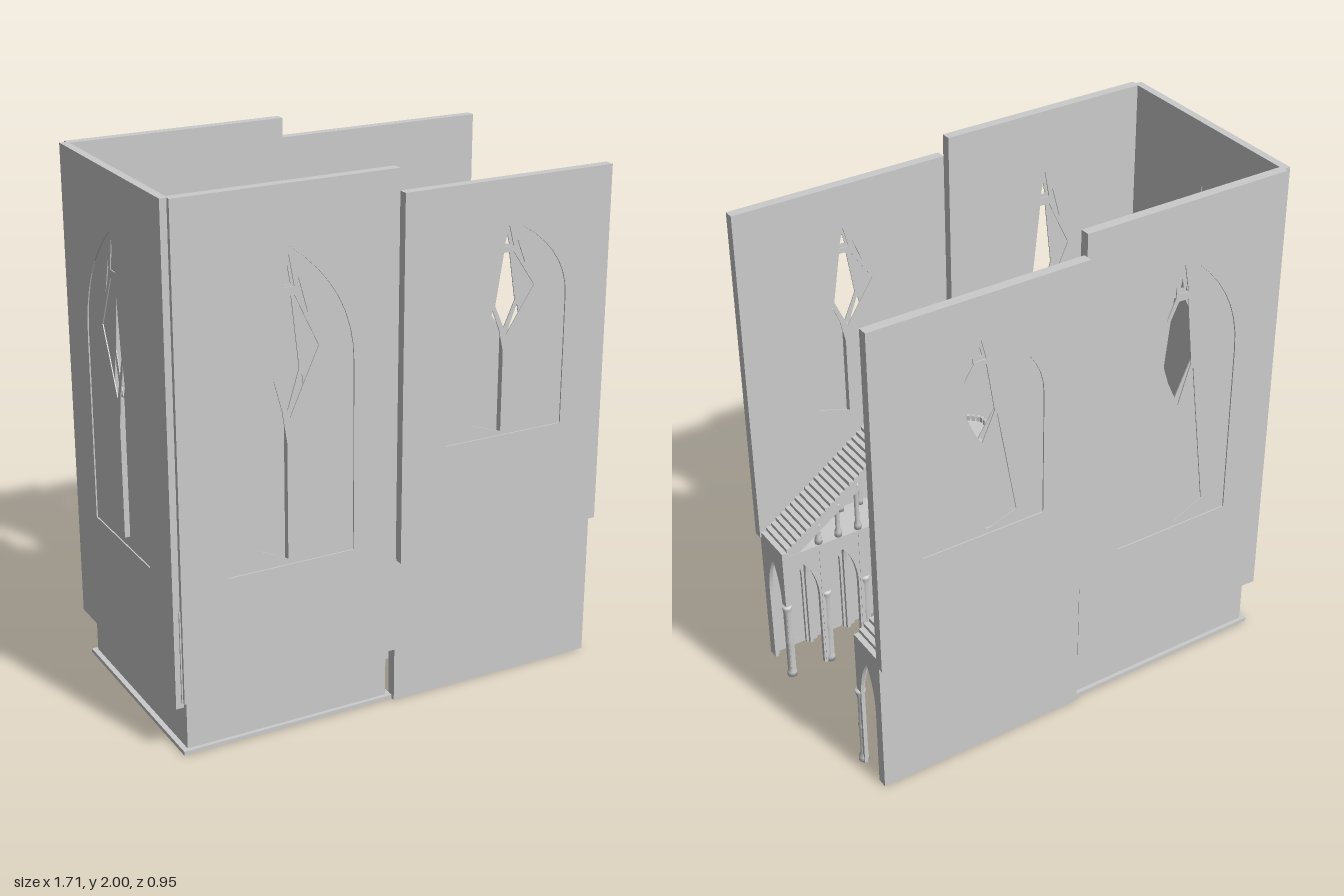
import * as THREE from 'three';

const grey = new THREE.MeshStandardMaterial({ color: 0xcccccc, side: THREE.DoubleSide, flatShading: true });
const smooth = new THREE.MeshStandardMaterial({ color: 0xcccccc, side: THREE.DoubleSide });
const BAY = 0.168;

function add(parent, name, geo, x = 0, y = 0, z = 0, mat = grey) {
  const m = new THREE.Mesh(geo, mat);
  m.name = name;
  m.position.set(x, y, z);
  parent.add(m);
  return m;
}

// box given by its min and max corners
function box(parent, name, x0, x1, y0, y1, z0, z1) {
  return add(parent, name, new THREE.BoxGeometry(x1 - x0, y1 - y0, z1 - z0),
    (x0 + x1) / 2, (y0 + y1) / 2, (z0 + z1) / 2);
}

const poly = (pts) => new THREE.Shape(pts.map(([x, y]) => new THREE.Vector2(x, y)));
const extrude = (shape, depth) =>
  new THREE.ExtrudeGeometry(shape, { depth, bevelEnabled: false, curveSegments: 8 });

// closed pointed-arch outline
function pointed(hw, y0, spring, apex) {
  const s = new THREE.Shape();
  const k = spring + (apex - spring) * 0.6;
  s.moveTo(-hw, y0);
  s.lineTo(hw, y0);
  s.lineTo(hw, spring);
  s.quadraticCurveTo(hw, k, 0, apex);
  s.quadraticCurveTo(-hw, k, -hw, spring);
  s.lineTo(-hw, y0);
  return s;
}

// bay panel open to the ground through a pointed arch
function archPanel(w, hw, y0, spring, apex, top, depth) {
  const s = new THREE.Shape();
  const k = spring + (apex - spring) * 0.6;
  s.moveTo(-w / 2, y0);
  s.lineTo(-hw, y0);
  s.lineTo(-hw, spring);
  s.quadraticCurveTo(-hw, k, 0, apex);
  s.quadraticCurveTo(hw, k, hw, spring);
  s.lineTo(hw, y0);
  s.lineTo(w / 2, y0);
  s.lineTo(w / 2, top);
  s.lineTo(-w / 2, top);
  return extrude(s, depth);
}

// wall with a recessed two-layered window; outer face towards +z
function windowWall(name, u0, u1, y0, y1, thick, cu, sill, apex) {
  const g = new THREE.Group();
  g.name = name;
  const my = (y) => sill + ((y - 0.65) / 1.14) * (apex - sill);
  const wall = poly([[u0 - cu, y0], [u1 - cu, y0], [u1 - cu, y1], [u0 - cu, y1]]);
  wall.holes.push(pointed(0.243, sill, my(1.35), apex));
  add(g, 'wall', extrude(wall, thick), cu, 0, 0);
  const holes = [
    [[0, 1.19], [0.05, 1.3], [0.11, 1.43], [0.02, 1.62], [-0.02, 1.62], [-0.05, 1.35]],
    [[-0.02, 1.65], [0.02, 1.65], [0, 1.76]],
    [[0.03, 1.64], [0.07, 1.55], [0.035, 1.68]],
    [[-0.135, 0.73], [-0.012, 0.67], [-0.012, 1.1], [-0.03, 1.22], [-0.06, 1.33]],
  ];
  // outer tracery, then the inner one mirrored
  for (const [side, z] of [[1, thick - 0.009], [-1, 0]]) {
    const panel = pointed(0.243, sill, my(1.35), apex);
    for (const h of holes) panel.holes.push(poly(h.map(([x, y]) => [side * x, my(y)])));
    add(g, 'tracery', extrude(panel, 0.004), cu, 0, z);
  }
  box(g, 'mullion', cu - 0.01, cu + 0.01, sill, my(1.19), 0.004, thick - 0.009);
  return g;
}

// flight descending along +x; solid flights go down to the ground
function flight(run, top, low, n, width, thick) {
  const pts = [], dy = (top - low) / n;
  for (let i = 0; i < n; i++) {
    pts.push([(i * run) / n, top - i * dy], [((i + 1) * run) / n, top - i * dy]);
  }
  if (thick) pts.push([run, low - thick], [0, top - thick]);
  else pts.push([run, 0], [0, 0]);
  return extrude(poly(pts), width);
}

// turned column with base, optional rings and capital
function column(parent, x, z, y0, y1, r, rings = []) {
  const h = y1 - y0;
  const pts = [[0, 0], [r * 1.6, 0], [r * 1.6, 0.02], [r, 0.035]];
  for (const f of rings) {
    pts.push([r, f * h - 0.012], [r * 1.4, f * h], [r, f * h + 0.012]);
  }
  pts.push([r, h - 0.04], [r * 1.6, h - 0.012], [r * 1.6, h], [0, h]);
  add(parent, 'column', new THREE.LatheGeometry(pts.map((p) => new THREE.Vector2(...p)), 10), x, y0, z, smooth);
}

// everything on the +z side; the other side is its mirror image
function buildSide() {
  const g = new THREE.Group();
  g.name = 'side';
  const choir = windowWall('choirWall', -0.83, 0.005, 0.21, 2, 0.037, -0.41, 0.65, 1.79);
  choir.position.z = 0.41;
  const nave = windowWall('naveWall', 0.01, 0.85, 0.565, 1.92, 0.037, 0.43, 0.98, 1.775);
  nave.position.z = 0.437;
  g.add(choir, nave);
  box(g, 'lowerNaveWall', 0.005, 0.845, 0, 0.57, 0.43, 0.445);

  // gallery floor over the aisle, landing and long stair
  box(g, 'galleryFloor', -0.82, 0.845, 0.55, 0.57, 0.27, 0.43);
  box(g, 'landing', 0.17, 0.338, 0.91, 0.935, 0.27, 0.437);
  add(g, 'aisleStair', flight(0.507, 0.935, 0.575, 24, 0.165, 0.025), 0.338, 0, 0.27);

  for (let i = 0; i < 10; i++) {
    const x = 0.005 + BAY * (i - 5 + 0.5);
    const inNave = i >= 5;
    const y0 = inNave ? 0 : 0.21;
    const spring = inNave ? 0.32 : 0.37;
    // arcade towards the middle and blind arch on the wall
    add(g, 'arcadeArch', archPanel(BAY, 0.062, y0, spring, 0.51, 0.555, 0.016), x, 0, 0.272);
    add(g, 'blindArch', archPanel(BAY, 0.06, y0, spring, 0.49, 0.555, 0.012), x, 0, inNave ? 0.418 : 0.399);
    column(g, x + BAY / 2 - 0.008, 0.28, y0, spring + 0.02, 0.012, [0.5]);
  }
  // arches across the aisle
  for (let i = 0; i <= 10; i++) {
    const inNave = i >= 5;
    const y0 = inNave ? 0 : 0.21;
    const rib = add(g, 'crossArch', archPanel(0.165, 0.052, y0, inNave ? 0.32 : 0.37, 0.51, 0.56, 0.014),
      0.005 + BAY * (i - 5) - (i === 10 ? 0.014 : 0), 0, 0.353);
    rib.rotation.y = Math.PI / 2;
  }

  // small upper arcade carrying the stair and landing
  const stairY = (x) => 0.91 - Math.max(0, x - 0.338) * 0.71;
  for (const z of [0.285, 0.42]) {
    for (let x = 0.18; x < 0.75; x += BAY / 2) column(g, x, z, 0.57, stairY(x), 0.009);
  }
  add(g, 'stairString', extrude(poly([[0.17, 0.87], [0.338, 0.87], [0.77, 0.57], [0.845, 0.57],
    [0.338, 0.93], [0.17, 0.93]]), 0.014), 0, 0, 0.272);

  // bridge up to the pulpit and its tall pillars
  const bridge = add(g, 'bridgeStair', flight(0.165, 1.045, 0.935, 9, 0.16, 0.025), 0.334, 0, 0.105);
  bridge.rotation.y = -Math.PI / 2;
  for (const x of [0.19, 0.32]) {
    column(g, x, 0.207, 0, 0.93, 0.018, [0.33, 0.66]);
  }

  // dentils along the landing edge
  for (let i = 0; i < 8; i++) {
    const z = 0.275 + i * 0.021;
    box(g, 'dentil', 0.336, 0.344, 0.935, 0.952, z, z + 0.012);
  }
  // cheek of the middle stair
  add(g, 'stairCheek', extrude(poly([[0.02, 0], [0.34, 0], [0.34, 0.04], [0.035, 0.24], [0.02, 0.24]]), 0.01), 0, 0, 0.15);
  return g;
}

export function createModel() {
  const model = new THREE.Group();
  model.name = 'churchInterior';

  const left = buildSide();
  const right = buildSide();
  right.scale.z = -1;
  model.add(left, right);

  // end wall of the choir
  const end = windowWall('endWall', -0.43, 0.43, 0.19, 2, 0.03, 0, 0.65, 1.79);
  end.rotation.y = -Math.PI / 2;
  end.scale.x = -1;
  end.position.x = -0.825;
  model.add(end);

  // raised choir floor on a recessed base
  box(model, 'choirBase', -0.81, -0.015, 0.01, 0.2, -0.415, 0.415);
  box(model, 'choirFoot', -0.83, 0.005, 0, 0.015, -0.43, 0.43);
  box(model, 'choirFloor', -0.825, 0.02, 0.198, 0.212, -0.41, 0.41);

  // stair up to the choir
  add(model, 'choirStair', flight(0.32, 0.21, 0.021, 10, 0.3, 0), 0.018, 0, -0.15);

  // eight-sided pulpit with a dentilled rim
  const rim = [[0.075, 0.115], [0.145, 0.05], [0.145, -0.05], [0.075, -0.115],
    [-0.075, -0.115], [-0.145, -0.05], [-0.145, 0.05], [-0.075, 0.115]];
  const pulpit = add(model, 'pulpit', extrude(poly(rim), 0.06), 0.25, 1.04, 0);
  pulpit.rotation.x = Math.PI / 2;
  rim.forEach(([x, z], i) => {
    if (i === 3 || i === 7) return;
    const [x2, z2] = rim[(i + 1) % 8];
    for (let k = 0; k < 5; k++) {
      const t = (k + 0.5) / 5;
      const d = add(model, 'rimDentil', new THREE.BoxGeometry(0.012, 0.03, 0.012),
        0.25 + (x + (x2 - x) * t) * 0.97, 1.045, (z + (z2 - z) * t) * 0.97);
      d.rotation.y = -Math.atan2(z2 - z, x2 - x);
    }
  });
  return model;
}
